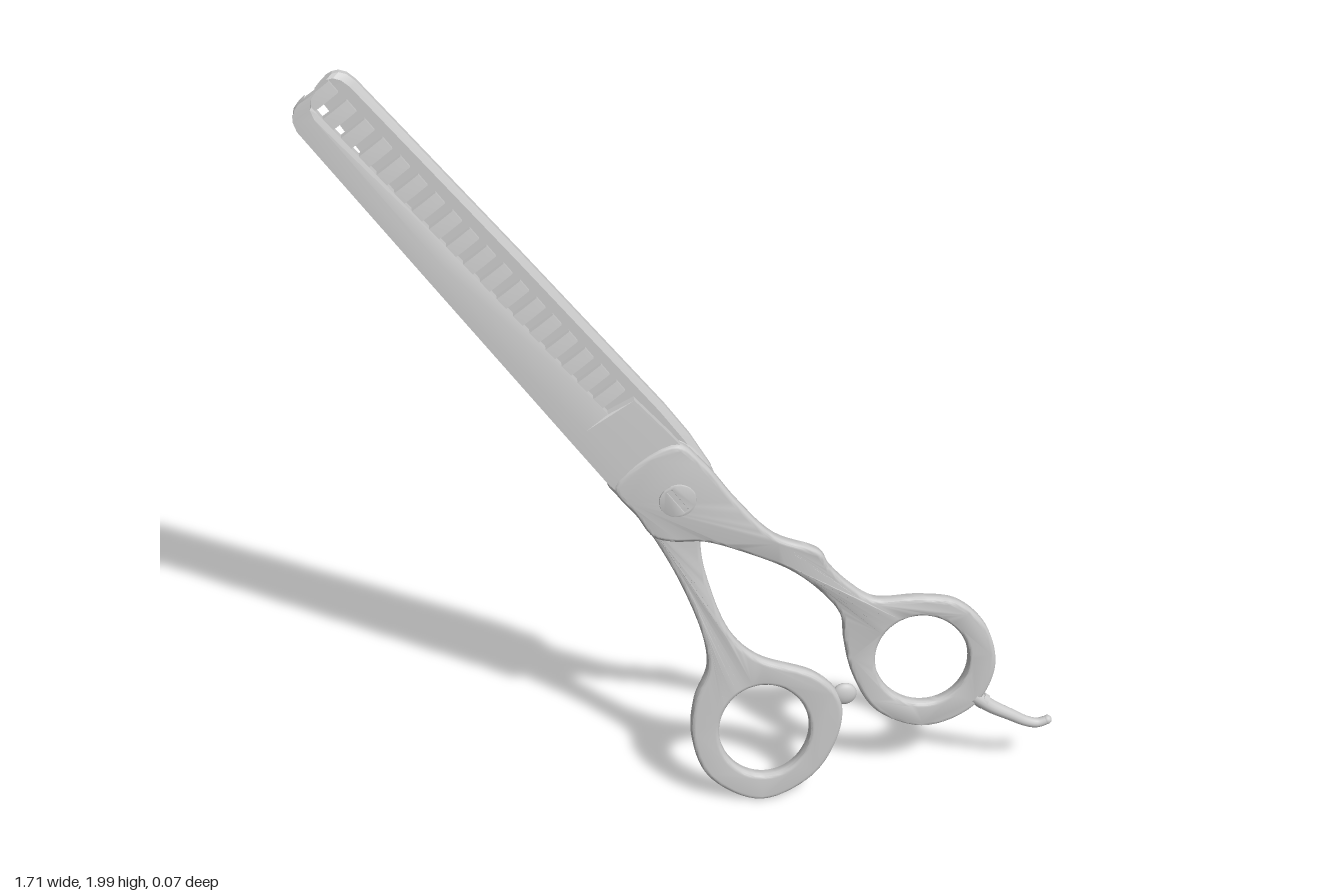
import * as THREE from 'three';
import { toCreasedNormals } from 'three/addons/utils/BufferGeometryUtils.js';

const material = new THREE.MeshStandardMaterial({ color: 0xcccccc });
const lerp = THREE.MathUtils.lerp;

function part(parent, name, geometry) {
  const mesh = new THREE.Mesh(geometry, material);
  mesh.name = name;
  parent.add(mesh);
  return mesh;
}

// Rounded plate from a smooth outline with one finger hole; zAt(y) bends its middle plane.
function handlePlate(outline, hole, zAt) {
  const curve = new THREE.CatmullRomCurve3(outline.map(([x, y]) => new THREE.Vector3(x, y, 0)), true);
  const shape = new THREE.Shape(curve.getPoints(170).slice(0, -1).map((p) => new THREE.Vector2(p.x, p.y)));
  const [cx, cy, rx, ry, tilt] = hole;
  const opening = new THREE.EllipseCurve(cx, cy, rx, ry, 0, Math.PI * 2, true, tilt);
  shape.holes.push(new THREE.Path(opening.getPoints(56).slice(0, -1)));
  const geo = new THREE.ExtrudeGeometry(shape, {
    depth: 0.014, bevelThickness: 0.009, bevelSize: 0.011, bevelOffset: -0.011, bevelSegments: 4,
  });
  geo.translate(0, 0, -0.007);
  const p = geo.attributes.position;
  for (let i = 0; i < p.count; i++) p.setZ(i, p.getZ(i) + zAt(p.getY(i)));
  return toCreasedNormals(geo, 0.7);
}

// Solid through sections [y, [[x, z], ...]], corners counter-clockwise in x and z.
function loft(sections) {
  const pos = [], index = [], n = sections[0][1].length;
  for (const [y, ring] of sections) for (const [x, z] of ring) pos.push(x, y, z);
  for (let s = 0; s < sections.length - 1; s++) {
    for (let i = 0; i < n; i++) {
      const a = s * n + i, b = s * n + (i + 1) % n;
      index.push(a, a + n, b + n, a, b + n, b);
    }
  }
  const last = (sections.length - 1) * n;
  for (let i = 1; i < n - 1; i++) index.push(0, i, i + 1, last, last + i + 1, last + i);
  const geo = new THREE.BufferGeometry();
  geo.setAttribute('position', new THREE.Float32BufferAttribute(pos, 3));
  geo.setIndex(index);
  return toCreasedNormals(geo, 0.4);
}

// Round bar along a path, its radius running from r0 to r1.
function taperedBar(points, r0, r1) {
  const path = new THREE.CatmullRomCurve3(points.map((p) => new THREE.Vector3(...p)));
  const steps = 24, sides = 14;
  const geo = new THREE.TubeGeometry(path, steps, 1, sides);
  const p = geo.attributes.position, v = new THREE.Vector3();
  for (let i = 0; i < p.count; i++) {
    const t = Math.floor(i / (sides + 1)) / steps, c = path.getPointAt(t);
    v.fromBufferAttribute(p, i).sub(c).multiplyScalar(lerp(r0, r1, t)).add(c);
    p.setXYZ(i, v.x, v.y, v.z);
  }
  return geo;
}

export function createModel() {
  const model = new THREE.Group();
  const front = new THREE.Group(), back = new THREE.Group();
  front.name = 'toothedHalf';
  back.name = 'plainHalf';
  model.add(front, back);

  // Handles with finger rings
  const bend = (y0, y1, z0, z1) => (y) => lerp(z0, z1, THREE.MathUtils.smoothstep(y, y0, y1));
  part(front, 'frontHandle', handlePlate([
    [-0.213, 0.967], [-0.165, 0.885], [-0.125, 0.82], [-0.08, 0.803], [-0.008, 0.796], [0.087, 0.754],
    [0.193, 0.69], [0.272, 0.611], [0.32, 0.537], [0.33, 0.46], [0.352, 0.362], [0.415, 0.246],
    [0.537, 0.188], [0.653, 0.235], [0.702, 0.345], [0.675, 0.468], [0.6, 0.55], [0.51, 0.572],
    [0.4, 0.577], [0.341, 0.623], [0.287, 0.69], [0.262, 0.738], [0.156, 0.795], [0.066, 0.9],
    [-0.011, 1.01], [-0.073, 1.064],
  ], [0.521, 0.389, 0.112, 0.133, 0.35], bend(0.55, 0.85, -0.014, 0.015)));
  part(back, 'backHandle', handlePlate([
    [-0.225, 0.96], [-0.205, 0.922], [-0.15, 0.845], [-0.103, 0.759], [-0.05, 0.638], [-0.008, 0.505],
    [0, 0.415], [-0.03, 0.325], [-0.036, 0.21], [0.008, 0.087], [0.135, 0.008], [0.262, 0.071],
    [0.325, 0.204], [0.322, 0.3], [0.262, 0.373], [0.124, 0.437], [0.061, 0.505], [0.012, 0.632],
    [-0.013, 0.78], [0.012, 0.87], [0.02, 0.95], [-0.011, 1.01], [-0.073, 1.064],
  ], [0.14, 0.22, 0.11, 0.138, 0.12], bend(0.45, 0.78, -0.006, -0.0155)));

  // Bumper between the rings
  const stopper = new THREE.Group();
  stopper.name = 'stopper';
  back.add(stopper);
  part(stopper, 'stopperStem', taperedBar([[0.28, 0.285, -0.008], [0.3, 0.292, -0.008], [0.335, 0.303, -0.008]], 0.012, 0.013));
  const bumper = part(stopper, 'stopperBumper', new THREE.SphereGeometry(0.03, 24, 16));
  bumper.position.set(0.335, 0.303, -0.008);
  bumper.scale.z = 0.5;

  // Finger rest with its collar
  const rest = new THREE.Group();
  rest.name = 'fingerRest';
  front.add(rest);
  part(rest, 'fingerRestHook', taperedBar([
    [0.655, 0.262, -0.014], [0.7, 0.224, -0.014], [0.75, 0.193, -0.014],
    [0.79, 0.169, -0.014], [0.82, 0.16, -0.014], [0.846, 0.167, -0.014],
  ], 0.019, 0.011));
  const tip = part(rest, 'fingerRestTip', new THREE.SphereGeometry(0.0115, 14, 10));
  tip.position.set(0.845, 0.167, -0.014);
  const collar = part(rest, 'fingerRestCollar', new THREE.CylinderGeometry(0.02, 0.02, 0.016, 20));
  collar.position.set(0.678, 0.243, -0.014);
  collar.rotation.z = 0.88;
  collar.scale.z = 0.85;

  // Blades share a frame: y runs along the blade from the pivot
  const bladeFrame = (parent, name) => {
    const g = new THREE.Group();
    g.name = name;
    g.position.set(-0.07, 0.92, 0);
    g.rotation.z = 0.608;
    parent.add(g);
    return g;
  };
  const along = (y) => (y - 0.3) / 0.95;

  // Toothed blade: a solid spine, then separate teeth
  const toothed = bladeFrame(front, 'toothedBlade');
  const spine = (y, left, right) => [y, [
    [left, 0.012], [left + 0.02, 0.003], [right, 0.003], [right, 0.021], [left + 0.045, 0.029], [left, 0.027],
  ]];
  const root = (y) => lerp(0.008, -0.03, along(y));
  part(toothed, 'toothedSpine', loft([
    spine(0.02, -0.09, 0.09), spine(0.15, -0.097, 0.085), spine(0.272, -0.096, 0.075),
    spine(0.28, -0.096, root(0.28)), spine(0.8, -0.091, root(0.8)), spine(1.235, -0.086, root(1.235)),
    spine(1.258, -0.079, root(1.25)), spine(1.275, -0.062, root(1.25)), spine(1.281, -0.046, root(1.25)),
  ]));
  const teeth = 18;
  for (let i = 0; i < teeth; i++) {
    const y = lerp(0.316, 1.262, i / (teeth - 1));
    const r = root(y) - 0.012, t = lerp(0.072, 0.031, along(y)), m = (r + t) / 2;
    const cut = [[r, 0.004], [t, 0.003], [t, 0.012], [m, 0.018], [r, 0.021]];
    part(toothed, 'tooth', loft([[y - 0.016, cut], [y + 0.016, cut]]));
  }

  // Plain blade: ground to an edge on one side
  const plain = bladeFrame(back, 'plainBlade');
  const ground = (y, edge, right) => [y, [
    [edge, -0.004], [lerp(edge, right, 0.35), -0.02], [lerp(edge, right, 0.7), -0.029],
    [right, -0.026], [right, -0.013], [right - 0.015, -0.003],
  ]];
  part(plain, 'plainBladeBody', loft([
    ground(0, -0.1, 0.1), ground(0.1, -0.1, 0.11), ground(0.2, -0.088, 0.111), ground(0.7, -0.052, 0.092),
    ground(1.235, -0.013, 0.068), ground(1.258, -0.012, 0.063), ground(1.272, -0.01, 0.053),
    ground(1.278, -0.005, 0.04),
  ]));

  // Pivot screw: slotted head in front, two-hole nut behind
  const pivot = bladeFrame(model, 'pivotScrew');
  const disc = (holes) => {
    const s = new THREE.Shape().absarc(0, 0, 0.043, 0, Math.PI * 2);
    s.holes.push(...holes);
    return toCreasedNormals(new THREE.ExtrudeGeometry(s, {
      depth: 0.006, bevelThickness: 0.002, bevelSize: 0.002, bevelOffset: -0.002, bevelSegments: 2, curveSegments: 36,
    }), 0.6);
  };
  const slot = new THREE.Path([[-0.006, -0.034], [-0.006, 0.034], [0.006, 0.034], [0.006, -0.034]]
    .map(([x, y]) => new THREE.Vector2(x, y)));
  part(pivot, 'screwHead', disc([slot])).position.z = 0.027;
  const pins = [-1, 1].map((s) => new THREE.Path().absarc(s * 0.02, 0, 0.006, 0, Math.PI * 2, true));
  part(pivot, 'screwNut', disc(pins)).position.z = -0.033;

  return model;
}
